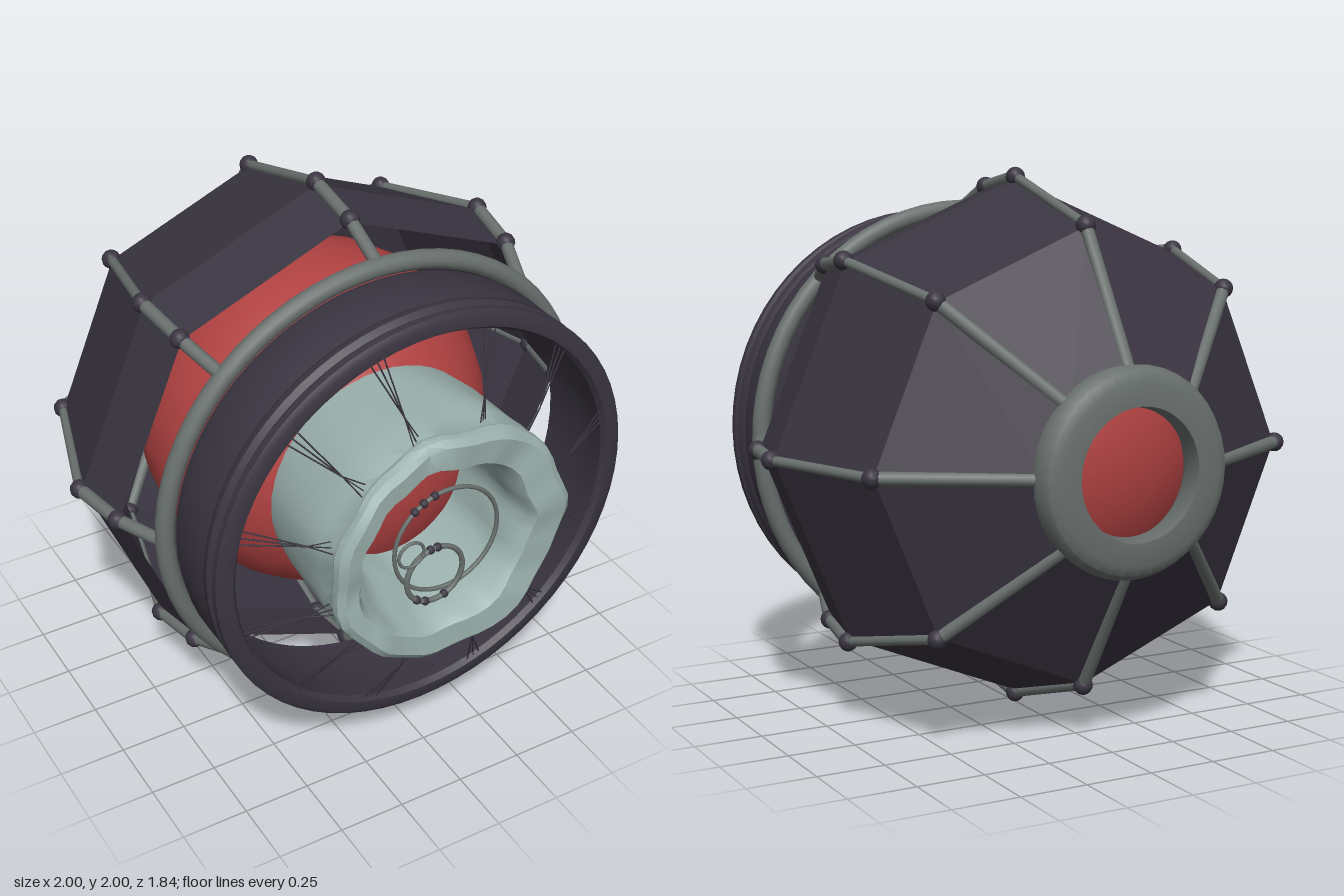
import * as THREE from 'three';
import { toCreasedNormals } from 'three/addons/utils/BufferGeometryUtils.js';

const mat = (color, opts = {}) => new THREE.MeshStandardMaterial({ color, ...opts });
const dark = mat(0x3a3541, { side: THREE.DoubleSide });
const panel = mat(0x3a3541, { side: THREE.DoubleSide, flatShading: true });
const metal = mat(0x69706d);
const red = mat(0xb24242);
const teal = mat(0x9cb2ae, { side: THREE.DoubleSide });

const TAU = Math.PI * 2;
const polar = (r, a, z) => new THREE.Vector3(r * Math.cos(a), r * Math.sin(a), z);

export function createModel() {
  const model = new THREE.Group();
  const body = new THREE.Group();
  body.name = 'body';
  body.position.y = 1;
  model.add(body);

  const add = (name, geo, material, parent = body) => {
    const m = new THREE.Mesh(geo, material);
    m.name = name;
    parent.add(m);
    return m;
  };
  const group = (name) => {
    const g = new THREE.Group();
    g.name = name;
    body.add(g);
    return g;
  };
  // Profile of [radius, z] pairs spun around the z axis
  const spin = (pts, seg, rule) => {
    const g = new THREE.LatheGeometry(pts.map(([r, z]) => new THREE.Vector2(r, z)), seg);
    g.rotateX(Math.PI / 2);
    if (rule) {
      const p = g.attributes.position, v = new THREE.Vector3();
      for (let i = 0; i < p.count; i++) {
        rule(v.fromBufferAttribute(p, i));
        p.setXYZ(i, v.x, v.y, v.z);
      }
      g.computeVertexNormals();
    }
    return toCreasedNormals(g, 0.65);
  };
  // Round bar between two points
  const bar = (name, a, b, r, material, parent, seg = 10) => {
    const d = b.clone().sub(a);
    const m = add(name, new THREE.CylinderGeometry(r, r, d.length(), seg), material, parent);
    m.position.copy(a).add(b).multiplyScalar(0.5);
    m.quaternion.setFromUnitVectors(new THREE.Vector3(0, 1, 0), d.normalize());
  };

  // Eight-sided outer shell, open at the front
  const rings = [[0.33, -0.86], [0.805, -0.55], [0.955, -0.05], [0.915, 0.18]];
  const pos = [];
  for (let k = 0; k < 3; k++) {
    for (let i = 0; i < 8; i++) {
      const a = (i / 8) * TAU, b = ((i + 1) / 8) * TAU;
      const p = polar(rings[k][0], a, rings[k][1]), q = polar(rings[k][0], b, rings[k][1]);
      const s = polar(rings[k + 1][0], b, rings[k + 1][1]), t = polar(rings[k + 1][0], a, rings[k + 1][1]);
      for (const v of [p, q, s, p, s, t]) pos.push(v.x, v.y, v.z);
    }
  }
  const shell = new THREE.BufferGeometry();
  shell.setAttribute('position', new THREE.Float32BufferAttribute(pos, 3));
  shell.computeVertexNormals();
  add('shell', shell, panel);

  // Ribs with ball joints, running from the back ring to the front ring
  const frame = group('frame');
  const path = [[0.3, -0.86], [0.81, -0.55], [0.965, -0.05], [0.925, 0.18], [0.84, 0.37]];
  for (let i = 0; i < 8; i++) {
    const a = (i / 8) * TAU;
    for (let k = 0; k < 4; k++) {
      const from = polar(path[k][0], a, path[k][1]);
      bar('rib', from, polar(path[k + 1][0], a, path[k + 1][1]), k === 1 ? 0.018 : 0.024, metal, frame);
      if (k > 0) add('joint', new THREE.SphereGeometry(0.035, 12, 8), dark, frame).position.copy(from);
    }
    const end = polar(0.925, a, 0.18);
    add('joint', new THREE.SphereGeometry(0.033, 12, 8), dark, frame).position.copy(end);
  }

  // Front ring that carries the collar
  const frontRing = add('frontRing', new THREE.TorusGeometry(0.835, 0.035, 14, 64), metal);
  frontRing.position.z = 0.37;

  // Back ring with a round hole
  add('backRing', spin([[0.23, -0.92], [0.31, -0.92], [0.345, -0.905], [0.365, -0.87],
    [0.36, -0.825], [0.33, -0.81], [0.24, -0.81], [0.22, -0.85], [0.23, -0.92]], 40), metal);

  // Hollow collar with beaded front rim
  add('collar', spin([[0.76, 0.38], [0.8, 0.385], [0.815, 0.44], [0.815, 0.57], [0.807, 0.61],
    [0.818, 0.625], [0.82, 0.65], [0.804, 0.67], [0.82, 0.69], [0.82, 0.715], [0.8, 0.73],
    [0.76, 0.73], [0.745, 0.71], [0.75, 0.65], [0.77, 0.55], [0.76, 0.38]], 64), dark);

  // Red inner globe
  const globe = add('globe', new THREE.SphereGeometry(0.65, 28, 20).rotateX(Math.PI / 2), red);
  globe.position.z = -0.09;

  // Slightly uneven iris ring with a funnel-shaped opening
  add('iris', spin([[0.43, 0.36], [0.45, 0.5], [0.46, 0.68], [0.465, 0.78], [0.455, 0.84],
    [0.465, 0.86], [0.46, 0.885], [0.435, 0.905], [0.35, 0.9], [0.33, 0.87],
    [0.315, 0.78], [0.29, 0.65], [0.28, 0.46]], 48, (v) => {
    const a = Math.atan2(v.y, v.x), r = Math.hypot(v.x, v.y);
    const w = 0.007 * Math.sin(7 * a + v.z * 9) + 0.005 * Math.sin(11 * a + 1);
    if (v.z > 0.6) {
      v.x *= 1 + w / r;
      v.y *= 1 + w / r;
    }
    if (v.z > 0.83) v.z += 0.01 * Math.sin(5 * a + 0.6) + 0.004 * Math.sin(13 * a);
    if (r < 0.4 && v.z > 0.75) v.x -= 0.03;
  }), teal);

  // Thin threads tying the iris to the collar, in clusters of three
  const threads = group('threads');
  for (let i = 0; i < 12; i++) {
    const a = ((i + 0.5) / 12) * TAU + 0.03 * Math.sin(i * 2.3);
    const knot = polar(0.55, a, 0.8 + 0.01 * Math.sin(i * 1.7));
    for (const s of [-1, 0, 1]) {
      bar('thread', knot, polar(0.755, a + s * 0.035 + 0.02 * Math.sin(i * 3), 0.715), 0.0028, dark, threads, 4);
      bar('thread', knot, polar(0.46, a + s * 0.04, 0.83 + s * 0.012), 0.0028, dark, threads, 4);
    }
  }

  // Fine interlinked rings across the opening, with small beads
  const hoops = group('pupilRings');
  const hoopData = [
    { x: 0, y: 0.005, r: 0.208, t: 0.008, beads: [1.83, 2.05, 2.25] },
    { x: -0.05, y: -0.12, r: 0.113, t: 0.01, beads: [1.5, 1.75, 4.05, 4.4, 5.1] },
    { x: -0.155, y: 0.01, r: 0.05, t: 0.006, beads: [] },
  ];
  hoopData.forEach((h, i) => {
    const z = 0.84 + i * 0.012;
    add('hoop', new THREE.TorusGeometry(h.r, h.t, 8, 40), metal, hoops).position.set(h.x, h.y, z);
    for (const a of h.beads) {
      add('bead', new THREE.SphereGeometry(0.016, 8, 6), dark, hoops)
        .position.set(h.x + h.r * Math.cos(a), h.y + h.r * Math.sin(a), z);
    }
  });

  return model;
}
